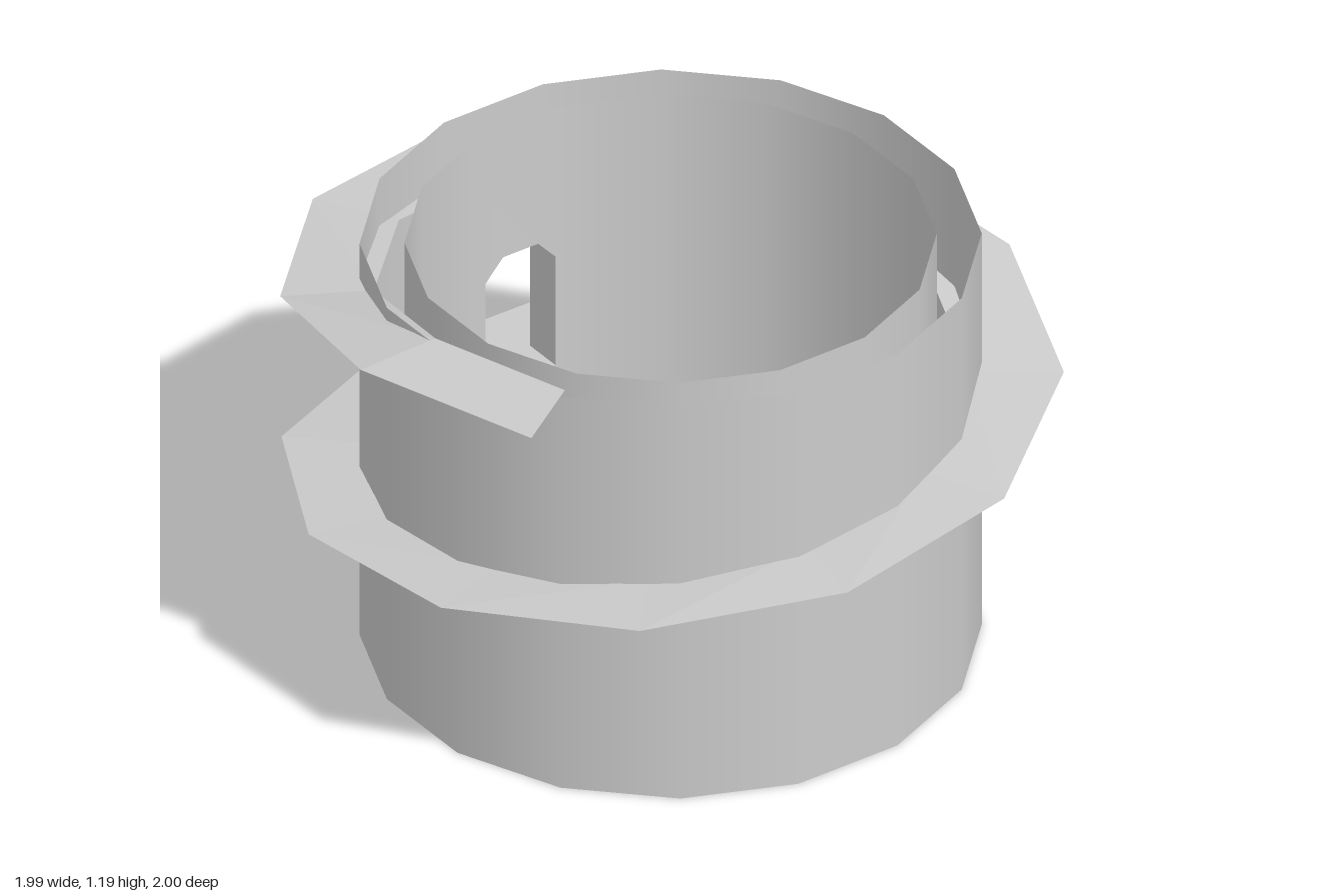
import * as THREE from 'three';

const HEIGHT = 1.19, SIDES = 16, STEP = (Math.PI * 2) / SIDES;
const OUTER = 0.795, INNER = 0.68;
const DOOR_SIDE = 10; // wall side that holds the doorway

// Doorway outline with a chamfered arch
const doorway = [[-0.115, 0.41], [0.105, 0.41], [0.105, 0.74], [0.05, 0.8], [-0.06, 0.8], [-0.115, 0.74]]
  .map(([x, y]) => new THREE.Vector2(x, y));

const material = new THREE.MeshStandardMaterial({ color: 0xcccccc, side: THREE.DoubleSide });
const flatMaterial = new THREE.MeshStandardMaterial({ color: 0xcccccc, side: THREE.DoubleSide, flatShading: true });

function addMesh(parent, name, geometry, mat = material) {
  const mesh = new THREE.Mesh(geometry, mat);
  mesh.name = name;
  parent.add(mesh);
  return mesh;
}

// Ribbon of quads between two rows of points
function ribbon(rowA, rowB) {
  const index = [];
  for (let i = 0; i < rowA.length - 1; i++) {
    const a = 2 * i;
    index.push(a, a + 1, a + 2, a + 1, a + 3, a + 2);
  }
  const points = rowA.flatMap((p, i) => [p, rowB[i]]);
  const geometry = new THREE.BufferGeometry().setFromPoints(points);
  geometry.setIndex(index);
  geometry.computeVertexNormals();
  return geometry;
}

const apothem = (radius) => radius * Math.cos(STEP / 2);

// Open round wall: fifteen plain sides plus one pierced panel
function makeWall(name, radius) {
  const wall = new THREE.Group();
  wall.name = name;
  const sides = new THREE.CylinderGeometry(radius, radius, HEIGHT, SIDES - 1, 1, true,
    (DOOR_SIDE + 1) * STEP, (SIDES - 1) * STEP);
  sides.translate(0, HEIGHT / 2, 0);
  addMesh(wall, name + 'Sides', sides);

  const half = radius * Math.sin(STEP / 2), depth = apothem(radius);
  const shape = new THREE.Shape([[-half, 0], [half, 0], [half, HEIGHT], [-half, HEIGHT]]
    .map(([x, y]) => new THREE.Vector2(x, y)));
  shape.holes.push(new THREE.Path(doorway));
  const panel = new THREE.ShapeGeometry(shape);
  panel.translate(0, 0, depth);
  // Radial normals keep the panel smooth with its neighbours
  const { position, normal } = panel.attributes;
  const n = new THREE.Vector3();
  for (let i = 0; i < position.count; i++) {
    n.set(position.getX(i), 0, depth).normalize();
    normal.setXYZ(i, n.x, n.y, n.z);
  }
  addMesh(wall, name + 'DoorPanel', panel).rotation.y = (DOOR_SIDE + 0.5) * STEP;
  return wall;
}

// Spiral ramp with a level landing at each end
function makeRamp() {
  const segments = 16, turn = THREE.MathUtils.degToRad(500);
  const low = 0.395, rise = HEIGHT - low;
  const inner = [], outer = [];
  for (let i = 0; i <= segments; i++) {
    const angle = (i / segments - 1) * turn;
    let y = low + (rise * i) / segments;
    if (i === 1) y = low;
    if (i === segments - 1) y = HEIGHT;
    for (const [row, r] of [[inner, 0.763], [outer, 1.0045]]) {
      row.push(new THREE.Vector3(r * Math.sin(angle), y, r * Math.cos(angle)));
    }
  }
  return ribbon(inner, outer);
}

export function createModel() {
  const model = new THREE.Group();
  model.name = 'spiralRampTower';

  const tower = new THREE.Group();
  tower.name = 'tower';
  tower.position.set(0.0085, 0, -0.0045);
  model.add(tower);

  tower.add(makeWall('outerWall', OUTER), makeWall('innerWall', INNER));

  // Sill, jambs and arch joining the two walls
  const loop = [...doorway, doorway[0]];
  const row = (radius) => loop.map((p) => new THREE.Vector3(p.x, p.y, apothem(radius)));
  addMesh(tower, 'doorFrame', ribbon(row(OUTER), row(INNER)), flatMaterial)
    .rotation.y = (DOOR_SIDE + 0.5) * STEP;

  addMesh(tower, 'spiralRamp', makeRamp(), flatMaterial);
  return model;
}
